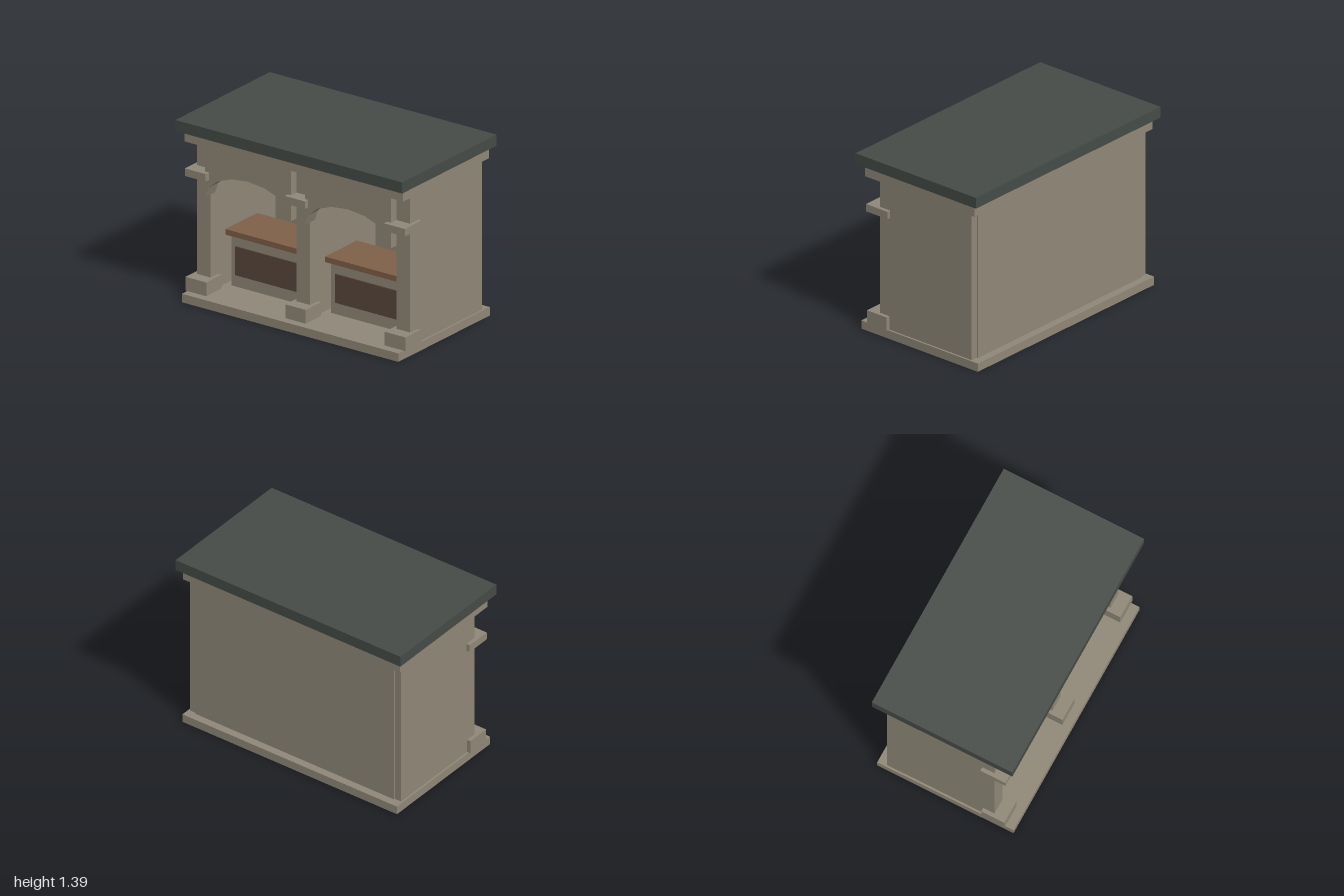
import * as THREE from 'three';

const stone = new THREE.MeshStandardMaterial({ color: 0x8f8777 });
stone.name = 'stone';
const slate = new THREE.MeshStandardMaterial({ color: 0x454b46 });
slate.name = 'dark slate';
const wood = new THREE.MeshStandardMaterial({ color: 0x7e6047 });
wood.name = 'counter wood';
const darkWood = new THREE.MeshStandardMaterial({ color: 0x5a473c });
darkWood.name = 'dark wood';

// Box given by its min and max corners
function box(name, material, [x0, x1], [y0, y1], [z0, z1]) {
  const mesh = new THREE.Mesh(new THREE.BoxGeometry(x1 - x0, y1 - y0, z1 - z0), material);
  mesh.position.set((x0 + x1) / 2, (y0 + y1) / 2, (z0 + z1) / 2);
  mesh.name = name;
  return mesh;
}

// Flat panel with an eight-sided elliptical arch cut from its underside
function archPanel() {
  const half = 0.38, spring = 0.805, rise = 0.21, top = 1.215, steps = 8;
  const shape = new THREE.Shape();
  shape.moveTo(half, top);
  shape.lineTo(-half, top);
  for (let i = 0; i <= steps; i++) {
    const a = Math.PI * (1 - i / steps);
    shape.lineTo(half * Math.cos(a), spring + rise * Math.sin(a));
  }
  shape.closePath();
  const geometry = new THREE.ExtrudeGeometry(shape, { depth: 0.12, bevelEnabled: false });
  const mesh = new THREE.Mesh(geometry, stone);
  mesh.position.z = 0.335;
  mesh.name = 'archPanel';
  return mesh;
}

// One bay: arch above a free-standing counter
function bay(name, x) {
  const group = new THREE.Group();
  group.name = name;
  group.position.x = x;
  group.add(
    archPanel(),
    box('counterBody', stone, [-0.327, 0.327], [0.065, 0.455], [-0.12, 0.212]),
    box('counterTop', wood, [-0.36, 0.36], [0.455, 0.497], [-0.14, 0.24]),
    box('counterFrontPanel', darkWood, [-0.287, 0.287], [0.155, 0.375], [0.212, 0.221])
  );
  return group;
}

// Wall running front to back, with a foot block and a capital at its front
function pier(name, wallX, trimX) {
  const group = new THREE.Group();
  group.name = name;
  group.add(
    box('wall', stone, wallX, [0.065, 1.215], [-0.475, 0.39]),
    box('footBlock', stone, trimX, [0.065, 0.17], [0.3, 0.485]),
    box('capital', stone, trimX, [0.945, 1.003], [0.292, 0.493])
  );
  return group;
}

export function createModel() {
  const model = new THREE.Group();
  model.name = 'arcadeBuilding';

  // Base, back wall, cornice and roof slab
  model.add(
    box('base', stone, [-0.955, 0.955], [0, 0.065], [-0.545, 0.55]),
    box('backWall', stone, [-0.885, 0.885], [0.065, 1.215], [-0.485, -0.39]),
    box('cornice', stone, [-0.965, 0.965], [1.215, 1.287], [-0.523, 0.505]),
    box('roof', slate, [-1, 1], [1.305, 1.39], [-0.565, 0.565])
  );

  // Side walls and centre divider
  model.add(
    pier('leftPier', [0.82, 0.94], [0.787, 0.97]),
    pier('centrePier', [-0.06, 0.06], [-0.09, 0.09]),
    pier('rightPier', [-0.94, -0.82], [-0.97, -0.787])
  );

  // Two matching bays
  model.add(bay('leftBay', 0.44), bay('rightBay', -0.44));
  return model;
}
